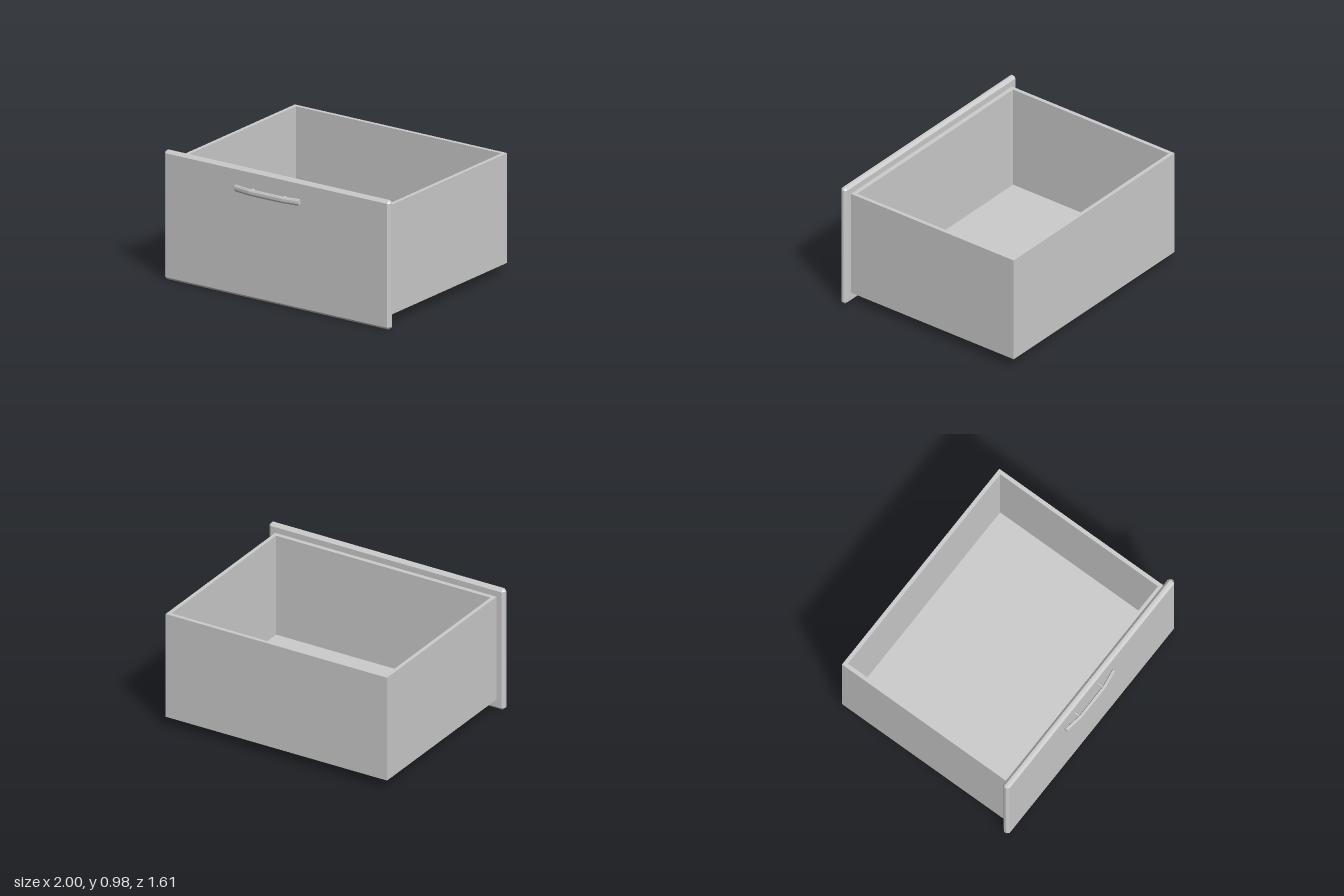
import * as THREE from 'three';
import { ConvexGeometry } from 'three/addons/geometries/ConvexGeometry.js';

const material = new THREE.MeshStandardMaterial({ color: 0xcccccc, flatShading: true });

function addPart(parent, name, geometry, x = 0, y = 0, z = 0) {
  const mesh = new THREE.Mesh(geometry, material);
  mesh.name = name;
  mesh.position.set(x, y, z);
  parent.add(mesh);
  return mesh;
}

// Box whose edges and corners are all cut by a chamfer c
function chamferedBox(w, h, d, c) {
  const points = [];
  for (const sx of [-1, 1]) for (const sy of [-1, 1]) for (const sz of [-1, 1]) {
    const [x, y, z] = [w / 2, h / 2, d / 2];
    points.push(
      new THREE.Vector3(sx * x, sy * (y - c), sz * (z - c)),
      new THREE.Vector3(sx * (x - c), sy * y, sz * (z - c)),
      new THREE.Vector3(sx * (x - c), sy * (y - c), sz * z));
  }
  return new ConvexGeometry(points);
}

// Rectangle centred on x, given its y range
function rectangle(path, halfWidth, y0, y1) {
  path.moveTo(-halfWidth, y0);
  path.lineTo(halfWidth, y0);
  path.lineTo(halfWidth, y1);
  path.lineTo(-halfWidth, y1);
  path.closePath();
  return path;
}

// Flattened eight-sided bar along x, its ends bent back towards the panel
function handleBar(stations, ry, rz) {
  const geometry = new THREE.CylinderGeometry(1, 1, 3, 8, 3, false, Math.PI / 8);
  geometry.rotateZ(-Math.PI / 2);
  const k = 1 / Math.cos(Math.PI / 8);
  const pos = geometry.attributes.position;
  for (let i = 0; i < pos.count; i++) {
    const [x, z] = stations[Math.round(pos.getX(i) + 1.5)];
    pos.setXYZ(i, x, pos.getY(i) * ry * k, z + pos.getZ(i) * rz * k);
  }
  geometry.computeVertexNormals();
  return geometry;
}

export function createModel() {
  const model = new THREE.Group();
  model.name = 'drawer';

  // Four walls as one frame, extruded upwards
  const bottom = 0.08, height = 0.835;
  const frame = rectangle(new THREE.Shape(), 0.94, -0.688, 0.805);
  frame.holes.push(rectangle(new THREE.Path(), 0.91, -0.65, 0.775));
  const walls = new THREE.ExtrudeGeometry(frame, { depth: height, bevelEnabled: false });
  walls.rotateX(-Math.PI / 2);
  addPart(model, 'walls', walls, 0, bottom, 0);

  // Floor filling the frame
  addPart(model, 'floor', new THREE.BoxGeometry(1.82, 0.032, 1.425), 0, bottom + 0.016, -0.0625);

  // Front panel
  addPart(model, 'frontPanel', chamferedBox(2, 0.98, 0.056, 0.019), 0, 0.49, 0.713);

  // Handle: bent bar on two posts
  const handle = new THREE.Group();
  handle.name = 'handle';
  handle.position.set(-0.06, 0.83, 0);
  model.add(handle);
  const stations = [[-0.285, 0.768], [-0.14, 0.79], [0.14, 0.79], [0.285, 0.768]];
  addPart(handle, 'handleBar', handleBar(stations, 0.024, 0.012));
  for (const x of [-0.14, 0.14]) {
    const post = new THREE.CylinderGeometry(1, 1, 0.055, 8, 1, false, Math.PI / 8);
    post.scale(0.01, 1, 0.016);
    post.rotateX(Math.PI / 2);
    addPart(handle, 'handlePost', post, x, 0, 0.7575);
  }
  return model;
}
